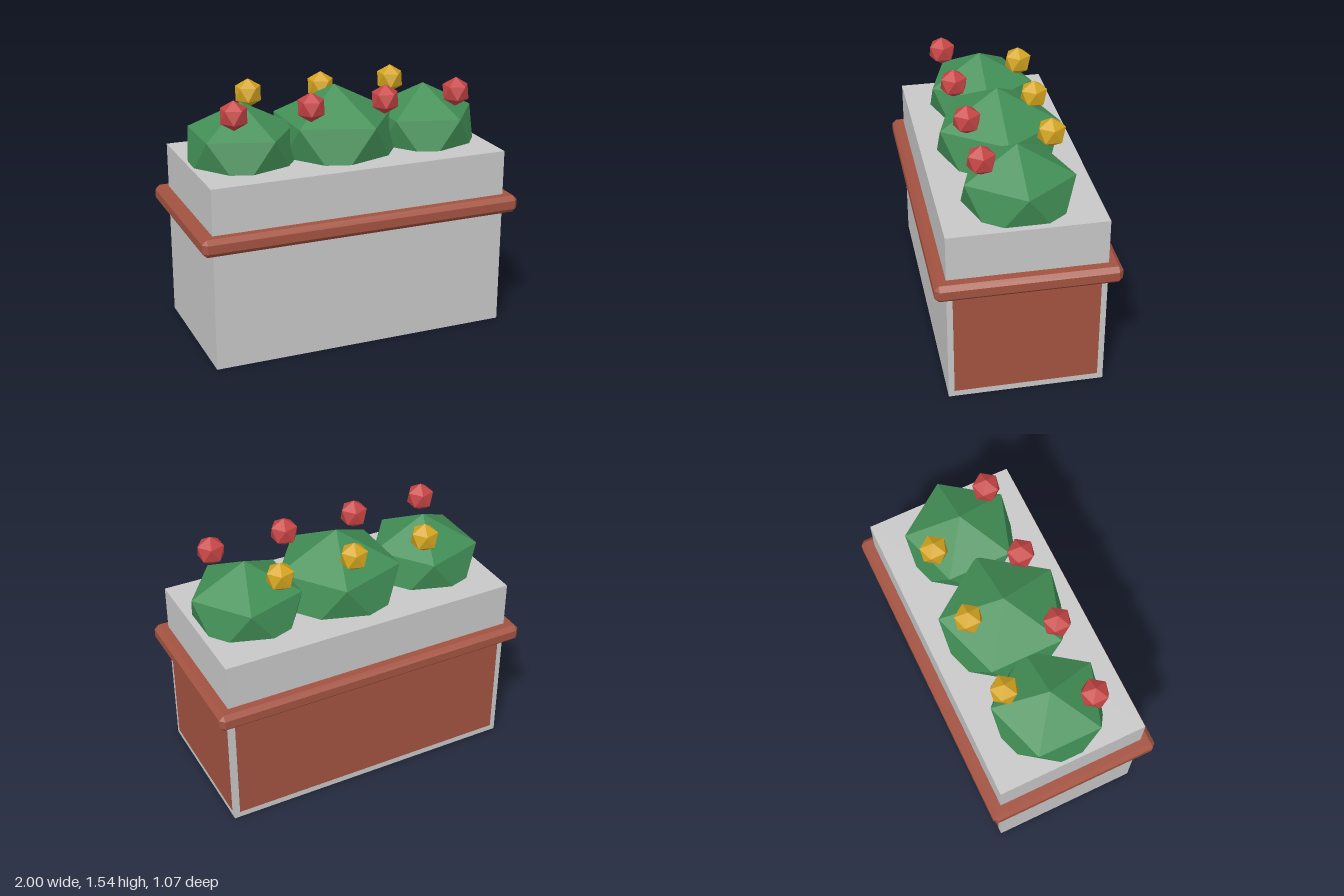
import * as THREE from 'three';
import { ConvexGeometry } from 'three/addons/geometries/ConvexGeometry.js';

const paint = (name, color, flatShading = true) => {
  const m = new THREE.MeshStandardMaterial({ color, flatShading });
  m.name = name;
  return m;
};

// Box with every edge chamfered by b
function chamferedBox(w, h, d, b) {
  const pts = [];
  for (const sx of [-1, 1]) for (const sy of [-1, 1]) for (const sz of [-1, 1]) {
    const x = w / 2, y = h / 2, z = d / 2;
    pts.push(new THREE.Vector3(sx * x, sy * (y - b), sz * (z - b)));
    pts.push(new THREE.Vector3(sx * (x - b), sy * y, sz * (z - b)));
    pts.push(new THREE.Vector3(sx * (x - b), sy * (y - b), sz * z));
  }
  return new ConvexGeometry(pts);
}

// Icosahedron standing on a corner, with an upper corner towards +x
function uprightIcosahedron(r, squash = 1) {
  const g = new THREE.IcosahedronGeometry(r, 0);
  g.rotateZ(-Math.atan(2 / (1 + Math.sqrt(5))));
  g.scale(1, squash, 1);
  return g;
}

export function createModel() {
  const group = new THREE.Group();
  const grey = paint('stone grey', 0xc8c8c8);
  const brick = paint('brick red', 0xa35341);
  const green = paint('leaf green', 0x428f56);
  const red = paint('flower red', 0xc64545);
  const yellow = paint('flower yellow', 0xd4a520);

  const add = (name, geometry, material, x, y, z) => {
    const mesh = new THREE.Mesh(geometry, material);
    mesh.name = name;
    mesh.position.set(x, y, z);
    group.add(mesh);
  };

  // Planter body with brick panels on one end and the back
  add('planterBox', new THREE.BoxGeometry(1.85, 1.11, 0.925), grey, 0, 0.555, 0);
  add('endPanel', new THREE.BoxGeometry(0.006, 0.67, 0.855), brick, 0.925, 0.375, 0);
  add('backPanel', new THREE.BoxGeometry(1.78, 0.67, 0.006), brick, 0, 0.375, -0.4625);

  // Chamfered band around the body
  add('rim', chamferedBox(2, 0.106, 1.07, 0.027), brick, 0, 0.781, 0);

  // Three shrubs, the middle one larger
  for (const [x, y, r] of [[-0.593, 1.152, 0.372], [0, 1.157, 0.425], [0.593, 1.152, 0.372]])
    add('shrub', uprightIcosahedron(r, 0.83), green, x, y, 0);

  // Flowers: red row in front, yellow row behind
  const bloom = uprightIcosahedron(0.09);
  for (const x of [-0.705, -0.235, 0.235, 0.705]) add('redFlower', bloom, red, x, 1.446, 0.222);
  for (const x of [-0.47, 0, 0.47]) add('yellowFlower', bloom, yellow, x, 1.446, -0.222);

  return group;
}
